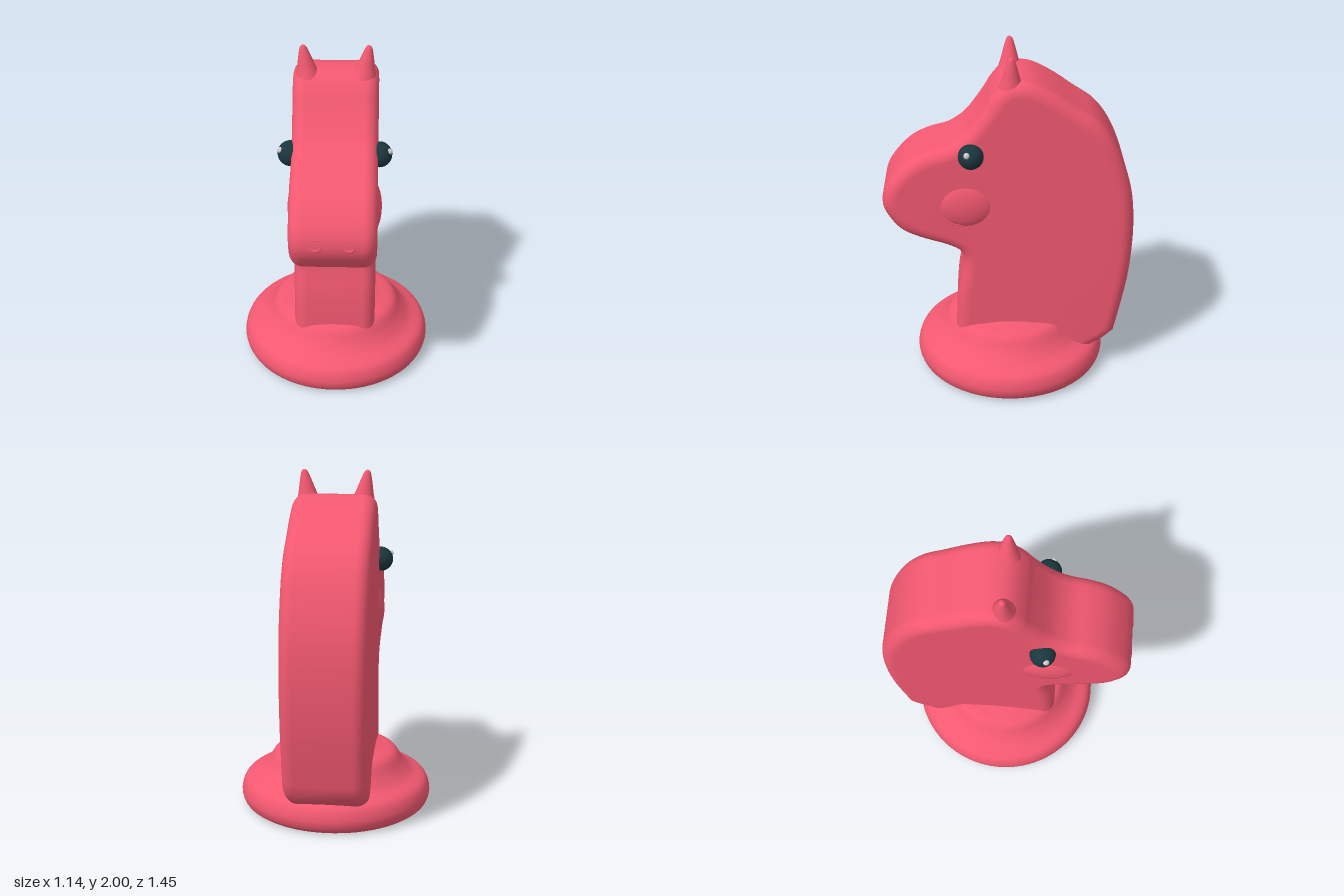
import * as THREE from 'three';
import { mergeVertices } from 'three/addons/utils/BufferGeometryUtils.js';

const coat = new THREE.MeshStandardMaterial({ color: 0xf25870 });
const eyeDark = new THREE.MeshStandardMaterial({ color: 0x1b363d });
const glint = new THREE.MeshStandardMaterial({ color: 0xcccccc });

const v2 = (p) => new THREE.Vector2(p[0], p[1]);

function add(parent, name, geometry, material, x = 0, y = 0, z = 0) {
  const mesh = new THREE.Mesh(geometry, material);
  mesh.name = name;
  mesh.position.set(x, y, z);
  parent.add(mesh);
  return mesh;
}

// Smooth lathe from a few profile points, bottom to top
function turned(points, samples, sides) {
  const curve = new THREE.SplineCurve(points.map(v2)).getPoints(samples);
  curve.forEach((p) => { p.x = Math.max(p.x, 0); });
  return new THREE.LatheGeometry(curve, sides);
}

// Horse head and neck: side outline (z, y) extruded across x with rounded edges
function headGeometry() {
  const outline = [
    [0.32, 0.2], [0.315, 0.36], [0.3, 0.55], [0.27, 0.72], [0.28, 0.81], [0.36, 0.86],
    [0.51, 0.91], [0.62, 0.965], [0.69, 1.05], [0.722, 1.13], [0.71, 1.22], [0.655, 1.31],
    [0.565, 1.4], [0.46, 1.453], [0.35, 1.485], [0.245, 1.56], [0.145, 1.695], [0.1, 1.77],
    [0.04, 1.835], [-0.03, 1.863], [-0.13, 1.855], [-0.25, 1.795], [-0.38, 1.705],
    [-0.5, 1.62], [-0.595, 1.49], [-0.668, 1.31], [-0.71, 1.13], [-0.722, 0.89],
    [-0.7, 0.6], [-0.635, 0.255],
  ];
  const points = new THREE.SplineCurve(outline.map(v2)).getPoints(110);
  points.push(...[[-0.575, 0.2], [-0.45, 0.12], [0.25, 0.12]].map(v2));
  const r = 0.075;
  const geometry = new THREE.ExtrudeGeometry(new THREE.Shape(points), {
    depth: 0.48 - 2 * r, bevelEnabled: true, bevelSize: r, bevelThickness: r,
    bevelOffset: -r, bevelSegments: 8,
  });
  geometry.translate(0, 0, r - 0.24);
  geometry.rotateY(-Math.PI / 2);
  geometry.deleteAttribute('uv');
  geometry.deleteAttribute('normal');
  const smooth = mergeVertices(geometry, 1e-4);
  smooth.computeVertexNormals();
  return smooth;
}

export function createModel() {
  const model = new THREE.Group();
  model.name = 'chessKnight';

  // Round foot with a sloping collar
  const base = turned([
    [0.525, 0], [0.555, 0.025], [0.57, 0.075], [0.558, 0.13], [0.53, 0.165], [0.46, 0.2],
    [0.41, 0.25], [0.37, 0.31], [0.335, 0.333], [0.28, 0.345], [0.2, 0.36], [0, 0.36],
  ], 60, 72);
  add(model, 'base', base, coat, 0, 0, -0.01);
  const underside = add(model, 'baseUnderside', new THREE.CircleGeometry(0.525, 72), coat, 0, 0, -0.01);
  underside.rotation.x = Math.PI / 2;

  add(model, 'headAndNeck', headGeometry(), coat);

  // Paired features, mirrored left and right
  const ear = turned([[0.085, -0.06], [0.075, 0], [0.052, 0.07], [0.036, 0.13], [0.021, 0.18], [0.012, 0.196], [0, 0.202]], 24, 24);
  const ball = new THREE.SphereGeometry(1, 32, 20);
  const mouthCurve = new THREE.CatmullRomCurve3([
    new THREE.Vector3(0, 0.02, 0.045), new THREE.Vector3(0, 0, 0), new THREE.Vector3(0, -0.005, -0.045),
  ]);
  const mouth = new THREE.TubeGeometry(mouthCurve, 12, 0.005, 6);
  const nostril = new THREE.TorusGeometry(0.028, 0.011, 10, 24);

  for (const [side, s] of [['left', 1], ['right', -1]]) {
    const earMesh = add(model, side + 'Ear', ear, coat, s * 0.155, 1.8, -0.01);
    earMesh.rotation.z = -s * 0.14;

    add(model, side + 'Eye', ball, eyeDark, s * 0.246, 1.447, 0.215).scale.setScalar(0.072);
    add(model, side + 'EyeGlint', ball, glint, s * 0.301, 1.477, 0.237).scale.setScalar(0.018);

    // Soft cheek swelling with the corner of the mouth beneath it
    add(model, side + 'Cheek', ball, coat, s * 0.205, 1.13, 0.25).scale.set(0.062, 0.145, 0.17);
    add(model, side + 'MouthCorner', mouth, coat, s * 0.24, 1.02, 0.31);

    const rim = add(model, side + 'Nostril', nostril, coat, s * 0.09, 1.165, 0.714);
    rim.rotation.x = -0.15;
    rim.scale.set(1, 1.15, 0.8);
  }
  return model;
}
